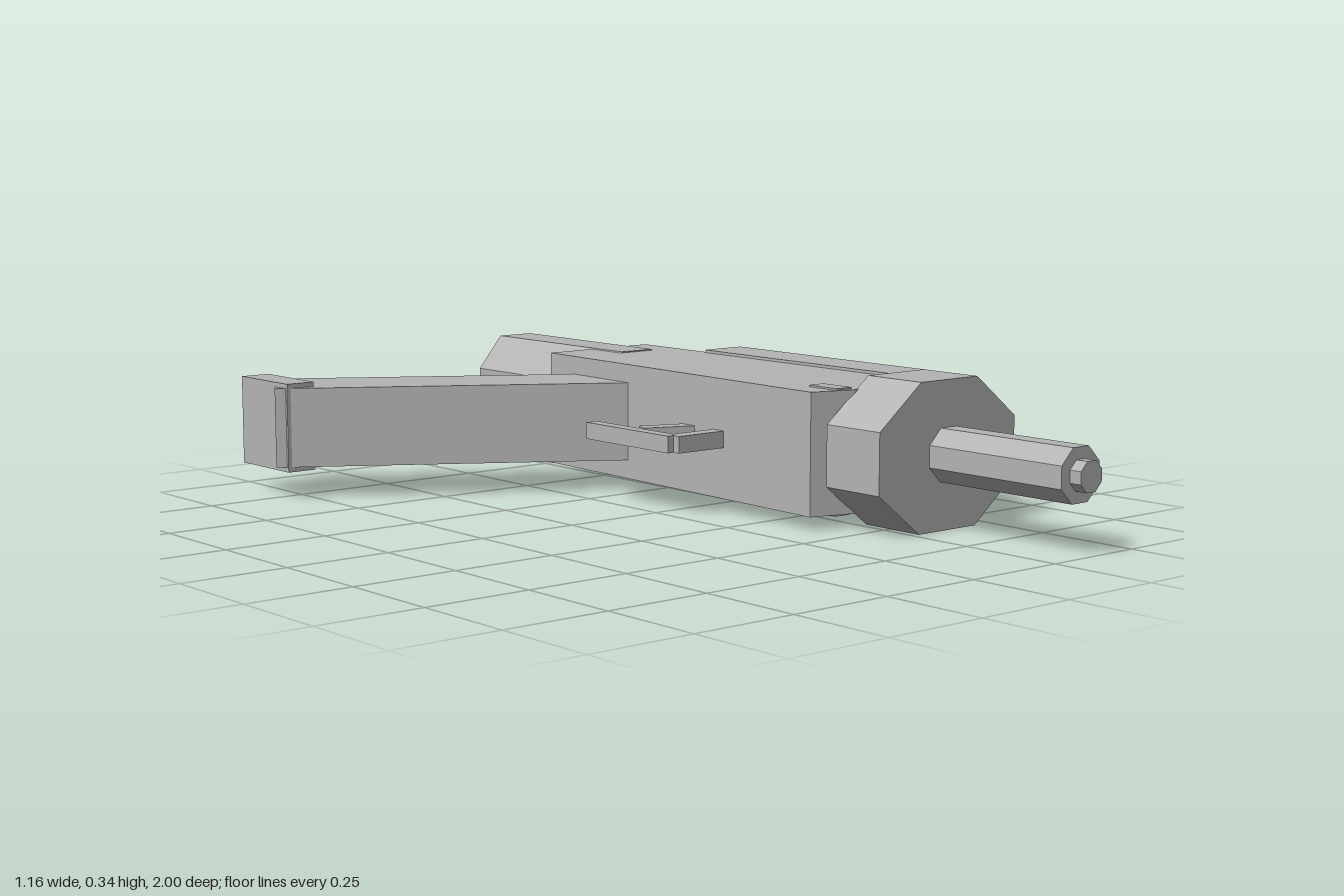
import * as THREE from 'three';

export function createModel() {
  const model = new THREE.Group();
  model.name = 'toyBlaster';
  const grey = new THREE.MeshStandardMaterial({ color: 0xb4b4b4, flatShading: true });
  grey.name = 'plainGrey';

  const add = (name, geometry) => {
    const mesh = new THREE.Mesh(geometry, grey);
    mesh.name = name;
    model.add(mesh);
  };

  // Box given by its lower and upper limits on each axis
  const box = (name, [x0, x1], [y0, y1], [z0, z1]) => {
    const g = new THREE.BoxGeometry(x1 - x0, y1 - y0, z1 - z0);
    g.translate((x0 + x1) / 2, (y0 + y1) / 2, (z0 + z1) / 2);
    add(name, g);
  };

  const extrude = (points, depth) => new THREE.ExtrudeGeometry(
    new THREE.Shape(points.map(([a, b]) => new THREE.Vector2(a, b))),
    { depth, bevelEnabled: false });

  // Upright slab from an outline of [x, z] points
  const slab = (name, outline, y0, y1) => {
    const g = extrude(outline.map(([x, z]) => [x, -z]), y1 - y0);
    g.rotateX(-Math.PI / 2);
    g.translate(0, y0, 0);
    add(name, g);
  };

  // Eight-sided bar along z, with half sizes and flat half widths
  const octagonBar = (name, cx, cy, rx, ry, z0, z1) => {
    const k = Math.SQRT2 - 1, fx = rx * k, fy = ry * k;
    const g = extrude([[rx, -fy], [rx, fy], [fx, ry], [-fx, ry],
      [-rx, fy], [-rx, -fy], [-fx, -ry], [fx, -ry]], z1 - z0);
    g.translate(cx, cy, z0);
    add(name, g);
  };

  // Main body and raised side block
  slab('body', [[0.155, -0.6], [0.47, -0.6], [0.47, 0.43], [0.22, 0.43], [0.115, 0.4]], 0.031, 0.314);
  box('sideBlock', [0.46, 0.58], [0.025, 0.321], [-0.35, 0.44]);

  // Muzzle collar, barrel and tip
  octagonBar('collar', 0.36, 0.171, 0.219, 0.171, 0.425, 0.59);
  octagonBar('barrel', 0.36, 0.173, 0.061, 0.061, 0.58, 0.97);
  octagonBar('barrelTip', 0.36, 0.173, 0.034, 0.034, 0.96, 1.0);

  // Rear chamber with its tab
  octagonBar('rearChamber', 0.34, 0.174, 0.12, 0.143, -1.0, -0.48);
  box('rearTab', [0.4, 0.502], [0.122, 0.225], [-0.78, -0.565]);

  // Slanted grip and end cap
  slab('grip', [[-0.582, -0.73], [-0.475, -0.9], [0.3, -0.404], [0.25, -0.207]], 0.077, 0.269);
  box('gripCap', [-0.56, -0.485], [0.065, 0.28], [-0.92, -0.71]);

  // Trigger, guard and small cross pin
  slab('trigger', [[0.03, -0.098], [0.16, -0.05], [0.16, -0.003], [0.014, -0.06]], 0.152, 0.192);
  box('guardBar', [-0.027, 0.005], [0.152, 0.192], [-0.225, 0.075]);
  box('guardArm', [-0.01, 0.16], [0.152, 0.192], [0.056, 0.095]);
  box('crossPin', [0.18, 0.226], [0.027, 0.318], [0.325, 0.415]);

  return model;
}
